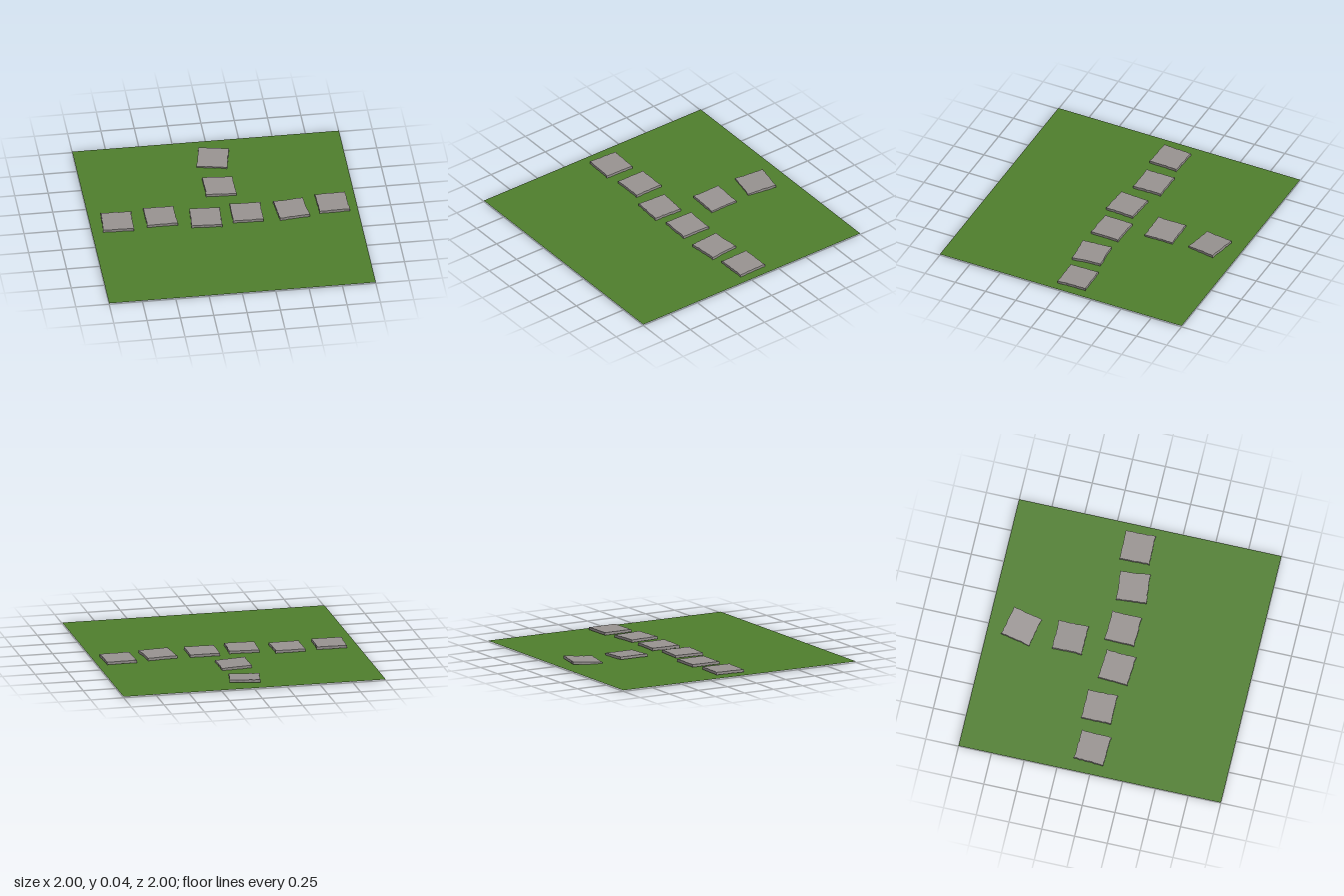
import * as THREE from 'three';

const SIZE = 0.23, THICK = 0.02;

// x, y, z of the centre, then yaw, pitch and roll
const STONES = [
  [-0.797, 0.0225, -0.025, -0.05, 0, 0],
  [-0.47, 0.0225, -0.048, 0, 0, 0],
  [-0.138, 0.0225, 0.01, -0.06, 0, 0],
  [0.172, 0.0225, -0.015, -0.03, 0, 0],
  [0.508, 0.0225, -0.015, 0.09, 0, 0],
  [0.82, 0.0225, -0.055, 0.02, 0, 0],
  [0.017, 0.0195, -0.383, 0, 0, -0.05],
  [0.02, 0.0182, -0.755, -0.2, 0.07, 0],
];

function seeded(seed) {
  let s = seed;
  return () => (s = (s * 16807) % 2147483647) / 2147483647;
}

// Square slab with chipped edges
function slabGeometry(seed) {
  const rand = seeded(seed);
  const h = SIZE / 2, steps = 10, points = [];
  for (let side = 0; side < 4; side++) {
    for (let i = 0; i < steps; i++) {
      const along = -h + (SIZE * i) / steps;
      const inset = i === 0 ? 0.001 : rand() * 0.006;
      const p = new THREE.Vector2(along, -h + inset);
      points.push(p.rotateAround(new THREE.Vector2(), (side * Math.PI) / 2));
    }
  }
  const geo = new THREE.ExtrudeGeometry(new THREE.Shape(points), { depth: THICK, bevelEnabled: false });
  geo.translate(0, 0, -THICK / 2);
  geo.rotateX(-Math.PI / 2);
  return geo;
}

export function createModel() {
  const grass = new THREE.MeshStandardMaterial({ color: 0x4f7f2d, side: THREE.DoubleSide });
  grass.name = 'grass green';
  const stone = new THREE.MeshStandardMaterial({ color: 0x989391 });
  stone.name = 'stone grey';

  const model = new THREE.Group();
  model.name = 'steppingStonePath';

  // Lawn sheet
  const lawn = new THREE.Mesh(new THREE.PlaneGeometry(2, 2).rotateX(-Math.PI / 2), grass);
  lawn.name = 'lawn';
  lawn.position.y = 0.0085;
  model.add(lawn);

  // Stepping stones: a row of six and two tilted ones behind
  STONES.forEach(([x, y, z, yaw, pitch, roll], i) => {
    const slab = new THREE.Mesh(slabGeometry(1234567 * (i + 1)), stone);
    slab.name = `steppingStone${i + 1}`;
    slab.position.set(x, y, z);
    slab.rotation.set(pitch, yaw, roll, 'YXZ');
    model.add(slab);
  });
  return model;
}
